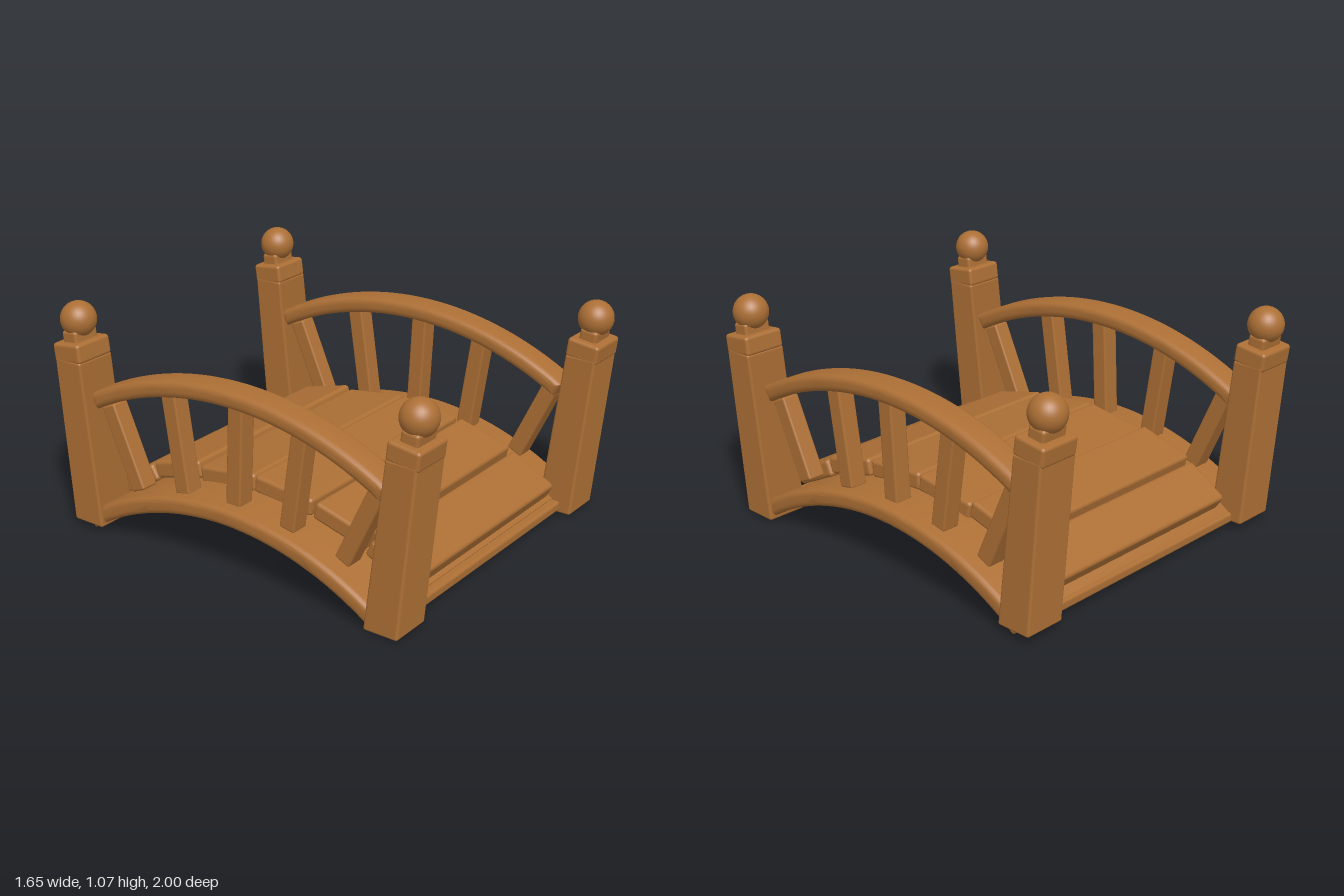
import * as THREE from 'three';
import { RoundedBoxGeometry } from 'three/addons/geometries/RoundedBoxGeometry.js';
import { toCreasedNormals } from 'three/addons/utils/BufferGeometryUtils.js';

const wood = new THREE.MeshStandardMaterial({ color: 0xac6f35 });

function add(parent, name, geometry, x = 0, y = 0, z = 0, tilt = 0) {
  const mesh = new THREE.Mesh(geometry, wood);
  mesh.name = name;
  mesh.position.set(x, y, z);
  mesh.rotation.x = tilt;
  parent.add(mesh);
  return mesh;
}

// Arched bar: a ring sector in the z-y plane, extruded across x with rounded edges
function archGeometry(inner, outer, crown, from, to, width, bevel) {
  const steps = 32, zc = -0.03, yc = crown - inner, pts = [];
  const at = (r, a) => new THREE.Vector2(zc + r * Math.sin(a), yc + r * Math.cos(a));
  for (let i = 0; i <= steps; i++) pts.push(at(inner, from + (to - from) * i / steps));
  for (let i = steps; i >= 0; i--) pts.push(at(outer, from + (to - from) * i / steps));
  const g = new THREE.ExtrudeGeometry(new THREE.Shape(pts), {
    depth: width - 2 * bevel, bevelThickness: bevel, bevelSize: bevel,
    bevelOffset: -bevel, bevelSegments: 4,
  });
  g.translate(0, 0, bevel - width / 2);
  g.rotateY(-Math.PI / 2);
  return toCreasedNormals(g, 0.6);
}

// Tapered, outward leaning shaft; s is +1 at the front, -1 at the back
function shaftGeometry(s, y0, y1) {
  const h = y1 - y0;
  const g = new RoundedBoxGeometry(0.208, h, 0.16, 3, 0.012);
  const p = g.attributes.position;
  for (let i = 0; i < p.count; i++) {
    const t = p.getY(i) / h + 0.5;
    const scale = THREE.MathUtils.lerp(1.08, 0.95, t);
    const centre = s * THREE.MathUtils.lerp(s > 0 ? 0.81 : 0.83, 0.902, t);
    p.setXYZ(i, p.getX(i), p.getY(i) + y0 + h / 2, p.getZ(i) * scale + centre);
  }
  return g;
}

export function createModel() {
  const bridge = new THREE.Group();
  bridge.name = 'archedFootbridge';

  // Curved deck slab and its end sills
  add(bridge, 'deckSlab', archGeometry(1.38, 1.46, 0.245, -0.605, 0.605, 1.615, 0.025));
  add(bridge, 'frontSill', new RoundedBoxGeometry(1.3, 0.05, 0.09, 3, 0.015), 0, 0.035, 0.795);
  add(bridge, 'backSill', new RoundedBoxGeometry(1.3, 0.05, 0.09, 3, 0.015), 0, 0.05, -0.82);

  // Planks: front and back edge of each top face as z, y
  const planks = [
    [0.83, 0.16, 0.60, 0.275], [0.585, 0.295, 0.305, 0.37],
    [0.285, 0.372, -0.03, 0.405], [-0.037, 0.405, -0.352, 0.362],
    [-0.362, 0.382, -0.635, 0.308], [-0.652, 0.288, -0.85, 0.165],
  ];
  const thick = 0.085;
  for (const [z0, y0, z1, y1] of planks) {
    const tilt = -Math.atan2(y0 - y1, z0 - z1);
    const length = Math.hypot(z0 - z1, y0 - y1);
    add(bridge, 'plank', new RoundedBoxGeometry(1.16, thick, length, 3, 0.018), 0,
      (y0 + y1) / 2 - Math.cos(tilt) * thick / 2,
      (z0 + z1) / 2 - Math.sin(tilt) * thick / 2, tilt);
  }

  // Balusters: foot and head as z, y
  const balusters = [
    [0.56, 0.23, 0.73, 0.59], [0.27, 0.29, 0.342, 0.76], [-0.025, 0.30, 0.002, 0.80],
    [-0.315, 0.29, -0.383, 0.76], [-0.585, 0.23, -0.75, 0.61],
  ];
  for (const side of [1, -1]) {
    const railing = new THREE.Group();
    railing.name = side > 0 ? 'leftRailing' : 'rightRailing';
    bridge.add(railing);
    add(railing, 'handrail', archGeometry(1.60, 1.678, 0.783, -0.5, 0.52, 0.15, 0.028), side * 0.695);
    for (const [z0, y0, z1, y1] of balusters) {
      const length = Math.hypot(z1 - z0, y1 - y0);
      add(railing, 'baluster', new RoundedBoxGeometry(0.09, length, 0.08, 2, 0.01),
        side * 0.695, (y0 + y1) / 2, (z0 + z1) / 2, Math.atan2(z1 - z0, y1 - y0));
    }
  }

  // Corner posts with cap, neck and ball
  for (const side of [1, -1]) for (const s of [1, -1]) {
    const post = new THREE.Group();
    post.name = (s > 0 ? 'front' : 'back') + (side > 0 ? 'Left' : 'Right') + 'Post';
    post.position.x = side * 0.716 + s * 0.004;
    bridge.add(post);
    const lift = s > 0 ? 0 : 0.02, lean = s * 0.13;
    add(post, 'shaft', shaftGeometry(s, s > 0 ? 0 : 0.028, 0.8 + lift), 0, 0, 0);
    add(post, 'cap', new RoundedBoxGeometry(0.206, 0.092, 0.16, 3, 0.016), 0, 0.828 + lift, s * 0.907, lean);
    add(post, 'neck', new RoundedBoxGeometry(0.14, 0.08, 0.088, 3, 0.016), 0, 0.885 + lift, s * 0.915, lean);
    add(post, 'ball', new THREE.SphereGeometry(0.083, 32, 20), 0, 0.966 + lift, s * 0.918);
  }
  return bridge;
}
